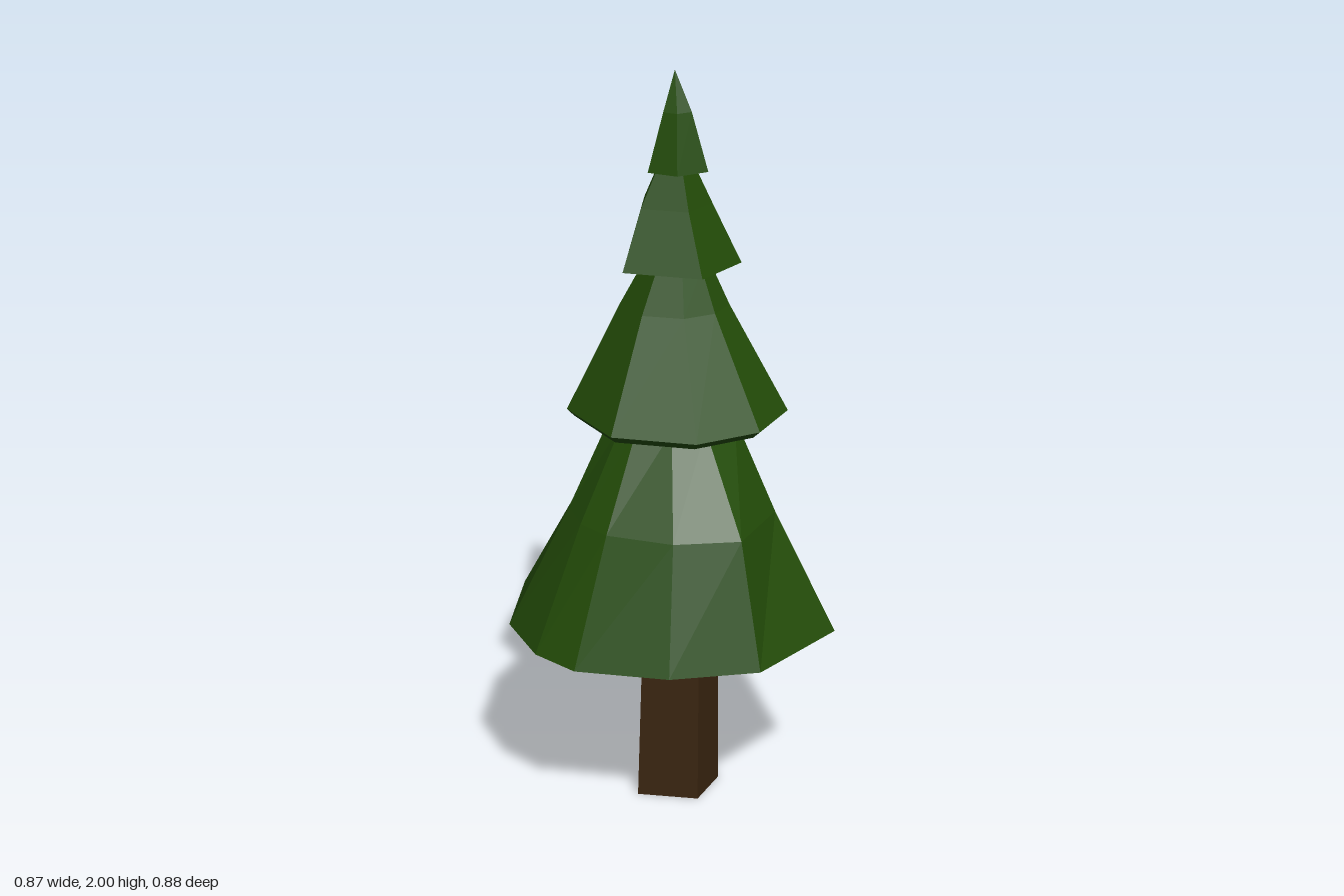
import * as THREE from 'three';

const green = new THREE.MeshStandardMaterial({ color: 0x234c08, flatShading: true, side: THREE.DoubleSide });
const brown = new THREE.MeshStandardMaterial({ color: 0x3a2510, flatShading: true, side: THREE.DoubleSide });

// Lofts an irregular outline [x, z] through levels [y, scale, shiftX, shiftZ, own outline].
// A level with scale 0 closes the shape to a point.
function loft(name, material, outline, levels) {
  const n = outline.length;
  const pos = [], index = [];
  for (const [y, s, dx = 0, dz = 0, ring = outline] of levels) {
    for (const [x, z] of ring) pos.push(x * s + dx, y, z * s + dz);
  }
  for (let l = 0; l < levels.length - 1; l++) {
    for (let i = 0; i < n; i++) {
      const a = l * n + i, b = l * n + (i + 1) % n, c = a + n, d = b + n;
      if (levels[l][1] !== 0) index.push(a, c, b);
      if (levels[l + 1][1] !== 0) index.push(b, c, d);
    }
  }
  const indexed = new THREE.BufferGeometry();
  indexed.setAttribute('position', new THREE.Float32BufferAttribute(pos, 3));
  indexed.setIndex(index);
  const geometry = indexed.toNonIndexed();
  geometry.computeVertexNormals();
  const mesh = new THREE.Mesh(geometry, material);
  mesh.name = name;
  return mesh;
}

export function createModel() {
  const tree = new THREE.Group();
  tree.name = 'pineTree';

  // five-sided trunk, closed below and ending at the underside of the foliage
  tree.add(loft('trunk', brown,
    [[-0.05, -0.11], [0.08, -0.11], [0.14, 0.01], [0.02, 0.125], [-0.09, 0.03]],
    [[0, 0, 0.02], [0, 1], [0.52, 0.91, 0.003, -0.008], [0.68, 0.85, 0.003, -0.008]]));

  // each tier starts at its raised inner underside, goes out to the rim, then up
  const lowerMid = [[0, -0.29], [0.24, -0.165], [0.34, 0.03], [0.25, 0.18], [0.1, 0.28], [0, 0.29],
    [-0.11, 0.25], [-0.23, 0.12], [-0.235, -0.02], [-0.23, -0.12], [-0.18, -0.22]];
  tree.add(loft('lowerFoliage', green,
    [[-0.01, -0.44], [0.37, -0.27], [0.435, 0.04], [0.325, 0.25], [0.14, 0.415], [0, 0.44],
      [-0.19, 0.395], [-0.39, 0.21], [-0.435, -0.025], [-0.405, -0.205], [-0.27, -0.345]],
    [[0.66, 0.2, 0.015], [0.52, 1], [0.85, 1, 0, 0, lowerMid], [1.1, 0.37, 0.01], [1.18, 0.29, 0.012]]));

  // second tier with a small turned-in lip
  tree.add(loft('middleFoliage', green,
    [[-0.265, -0.1], [-0.11, -0.275], [0.065, -0.3], [0.23, -0.21], [0.31, -0.05],
      [0.28, 0.13], [0.11, 0.27], [-0.125, 0.24], [-0.25, 0.11]],
    [[1.16, 0.42], [1.1, 0.93], [1.12, 1], [1.4, 0.49, 0.005], [1.51, 0.3, 0.02], [1.56, 0.22, 0.02]]));

  // third tier
  tree.add(loft('upperFoliage', green,
    [[-0.055, -0.16], [0.125, -0.135], [0.18, 0.035], [0.015, 0.16], [-0.14, 0.025]],
    [[1.55, 0.42, 0.01], [1.507, 1], [1.66, 0.6, -0.002], [1.755, 0.32, 0.01], [1.79, 0.25, 0.012]]));

  // pointed crown
  tree.add(loft('crown', green,
    [[0.01, -0.095], [0.1, -0.045], [0.09, 0.045], [0.015, 0.08], [-0.07, -0.005]],
    [[1.78, 0.4, 0.01], [1.752, 1], [1.9, 0.47, 0.016], [2, 0, 0.015, -0.005]]));

  return tree;
}
